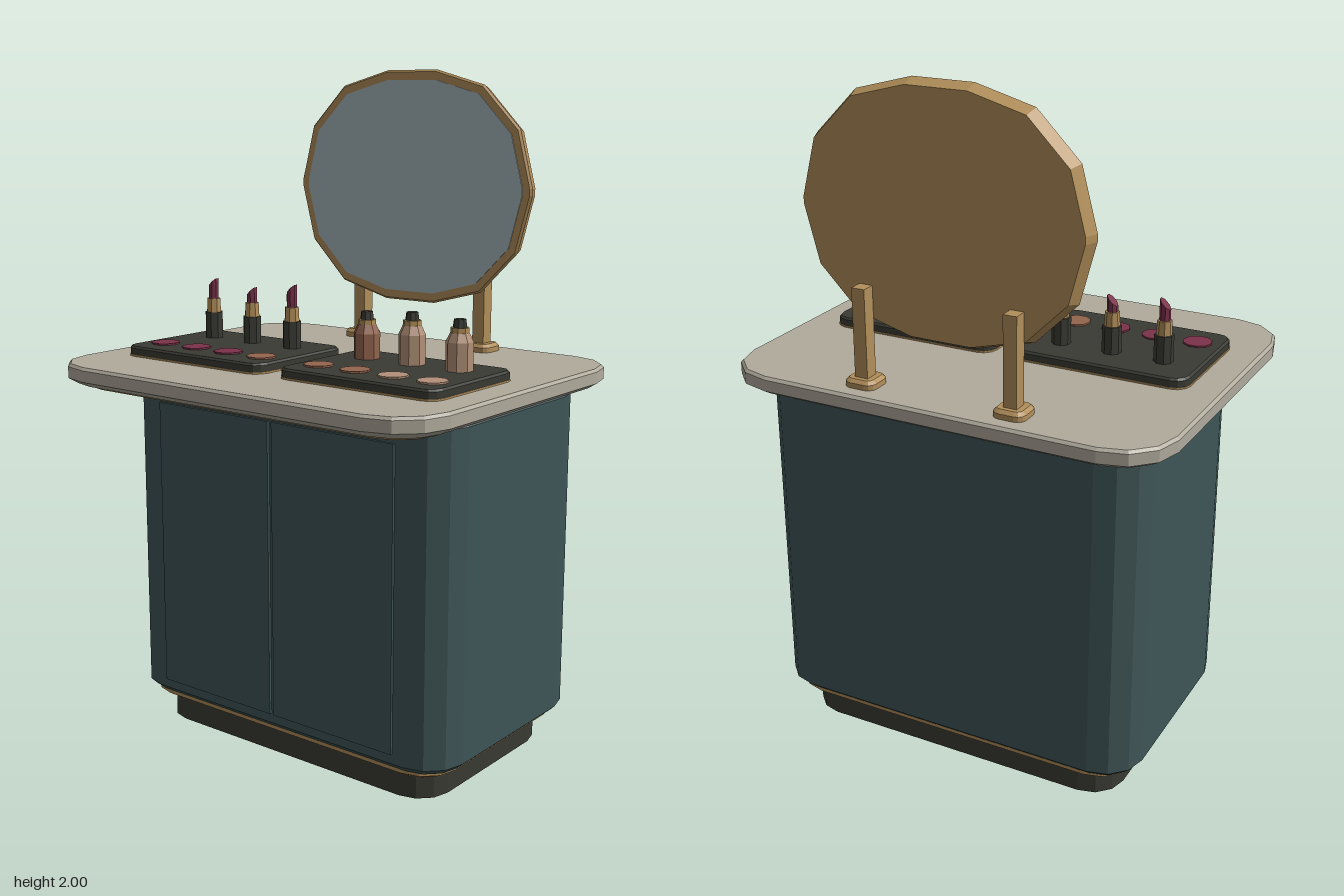
import * as THREE from 'three';

const mat = (name, color) => {
  const m = new THREE.MeshStandardMaterial({ color });
  m.name = name;
  return m;
};

// Rounded slab built from stacked rounded-rectangle rings; layers are [inset, y]
function slab(hw, hd, r, layers) {
  const SEG = 3, ring = [];
  for (let q = 0; q < 4; q++) {
    const sx = q === 0 || q === 3 ? 1 : -1, sz = q < 2 ? 1 : -1;
    for (let k = 0; k <= SEG; k++) ring.push([sx, sz, (q + k / SEG) * Math.PI / 2]);
  }
  const rows = layers.map(([inset, y]) => ring.map(([sx, sz, a]) => {
    const rr = Math.max(r - inset, 0.001);
    return [sx * (hw - inset - rr) + rr * Math.cos(a), y, sz * (hd - inset - rr) + rr * Math.sin(a)];
  }));
  const pos = [], n = ring.length, last = rows.length - 1;
  const tri = (...pts) => pts.forEach((p) => pos.push(...p));
  for (let i = 0; i < n; i++) {
    const j = (i + 1) % n;
    for (let l = 0; l < last; l++) {
      tri(rows[l][i], rows[l + 1][i], rows[l][j]);
      tri(rows[l][j], rows[l + 1][i], rows[l + 1][j]);
    }
    tri([0, layers[0][1], 0], rows[0][i], rows[0][j]);
    tri([0, layers[last][1], 0], rows[last][j], rows[last][i]);
  }
  const g = new THREE.BufferGeometry();
  g.setAttribute('position', new THREE.Float32BufferAttribute(pos, 3));
  g.computeVertexNormals();
  return g;
}

// Faceted upright cylinder from y0 to y1
function prism(rBottom, rTop, y0, y1, sides = 8) {
  const g = new THREE.CylinderGeometry(rTop, rBottom, y1 - y0, sides);
  g.rotateY(Math.PI / sides);
  g.translate(0, (y0 + y1) / 2, 0);
  const flat = g.toNonIndexed();
  flat.computeVertexNormals();
  return flat;
}

export function createModel() {
  const teal = mat('teal paint', 0x3f5556);
  const stone = mat('pale stone', 0xb1ab9d);
  const gold = mat('brushed gold', 0xb28f5a);
  const charcoal = mat('charcoal', 0x3a3a34);
  const glass = mat('mirror glass', 0xa5b6bc);
  const berry = mat('berry', 0x7a3249);
  const copper = mat('copper rose', 0x94654f);
  const tan = mat('warm tan', 0xb39179);

  const model = new THREE.Group();
  model.name = 'vanityTable';
  const add = (name, geometry, material, x = 0, y = 0, z = 0, parent = model) => {
    const m = new THREE.Mesh(geometry, material);
    m.name = name;
    m.position.set(x, y, z);
    parent.add(m);
    return m;
  };

  // Cabinet
  const CZ = -0.085;
  add('plinth', slab(0.515, 0.315, 0.1, [[0, 0], [0, 0.08]]), charcoal, 0, 0, CZ);
  add('plinthTrim', slab(0.555, 0.35, 0.11, [[0.03, 0.073], [0, 0.09], [0, 0.11]]), gold, 0, 0, CZ);
  add('cabinetBody', slab(0.585, 0.37, 0.12,
    [[0.018, 0.103], [0, 0.12], [0, 1.075], [0.015, 1.092]]), teal, 0, 0, CZ);
  for (const s of [1, -1]) {
    add(s > 0 ? 'leftDoor' : 'rightDoor', new THREE.BoxGeometry(0.425, 0.88, 0.015), teal,
      s * 0.2195, 0.59, 0.286);
  }

  // Countertop
  add('counterTrim', slab(0.63, 0.495, 0.14, [[0.025, 1.088], [0, 1.1], [0, 1.115]]), gold);
  add('countertop', slab(0.665, 0.532, 0.16,
    [[0.03, 1.1], [0, 1.118], [0, 1.152], [0.008, 1.16]]), stone);

  // Mirror, laid flat by the slab helper and stood upright
  const mirror = new THREE.Group();
  mirror.name = 'mirror';
  mirror.position.set(0, 1.65, 0);
  mirror.rotation.x = Math.PI / 2;
  model.add(mirror);
  add('mirrorFrame', slab(0.43, 0.35, 0.34, [[0.015, -0.42], [0, -0.381], [0.006, -0.374]]),
    gold, 0, 0, 0, mirror);
  add('mirrorGlass', slab(0.4, 0.32, 0.31, [[0, -0.376], [0, -0.372]]), glass, 0, 0, 0, mirror);
  for (const s of [1, -1]) {
    add('mirrorPost', new THREE.BoxGeometry(0.04, 0.275, 0.042), gold, s * 0.228, 1.3025, -0.44);
    add('postFoot', slab(0.047, 0.046, 0.025, [[0, 1.158], [0, 1.175], [0.01, 1.185]]),
      gold, s * 0.228, 0, -0.439);
  }

  // Trays with colour pans
  const pans = { '-1': [berry, berry, berry, copper], 1: [copper, copper, tan, tan] };
  for (const s of [-1, 1]) {
    const tray = new THREE.Group();
    tray.name = s > 0 ? 'leftTray' : 'rightTray';
    tray.position.set(s * 0.299, 0, 0.106);
    model.add(tray);
    add('trayTrim', slab(0.269, 0.199, 0.045, [[0, 1.159], [0, 1.165]]), gold, 0, 0, 0, tray);
    add('trayBase', slab(0.267, 0.197, 0.043,
      [[0, 1.164], [0, 1.184], [0.006, 1.19]]), charcoal, 0, 0, 0, tray);
    pans[s].forEach((m, i) =>
      add('colourPan', prism(0.043, 0.043, 1.187, 1.195, 10), m, (i - 1.5) * 0.1285, 0, 0.096, tray));
  }

  // Lipsticks with slanted tips
  [[-0.458, 1.375], [-0.3, 1.36], [-0.142, 1.38]].forEach(([x, top], i) => {
    const stick = new THREE.Group();
    stick.name = 'lipstick' + (i + 1);
    stick.position.set(x, 0, 0.022);
    model.add(stick);
    add('lipstickCase', prism(0.028, 0.028, 1.188, 1.27), charcoal, 0, 0, 0, stick);
    add('lipstickCollar', prism(0.023, 0.021, 1.27, 1.312), gold, 0, 0, 0, stick);
    const tip = prism(0.016, 0.016, 1.31, top);
    const p = tip.attributes.position;
    for (let k = 0; k < p.count; k++) {
      if (p.getY(k) > 1.32) p.setY(k, top - 0.016 + p.getX(k));
    }
    tip.computeVertexNormals();
    add('lipstickTip', tip, berry, 0, 0, 0, stick);
  });

  // Polish bottles
  [[0.138, 1.288, copper], [0.296, 1.3, tan], [0.455, 1.295, tan]].forEach(([x, top, m], i) => {
    const bottle = new THREE.Group();
    bottle.name = 'bottle' + (i + 1);
    bottle.position.set(x, 0, 0.022);
    model.add(bottle);
    add('bottleBody', prism(0.039, 0.039, 1.188, top - 0.025), m, 0, 0, 0, bottle);
    add('bottleShoulder', prism(0.039, 0.027, top - 0.025, top), m, 0, 0, 0, bottle);
    add('bottleCollar', prism(0.026, 0.026, top, top + 0.014), gold, 0, 0, 0, bottle);
    add('bottleCap', prism(0.02, 0.017, top + 0.014, top + 0.037), charcoal, 0, 0, 0, bottle);
  });

  return model;
}
